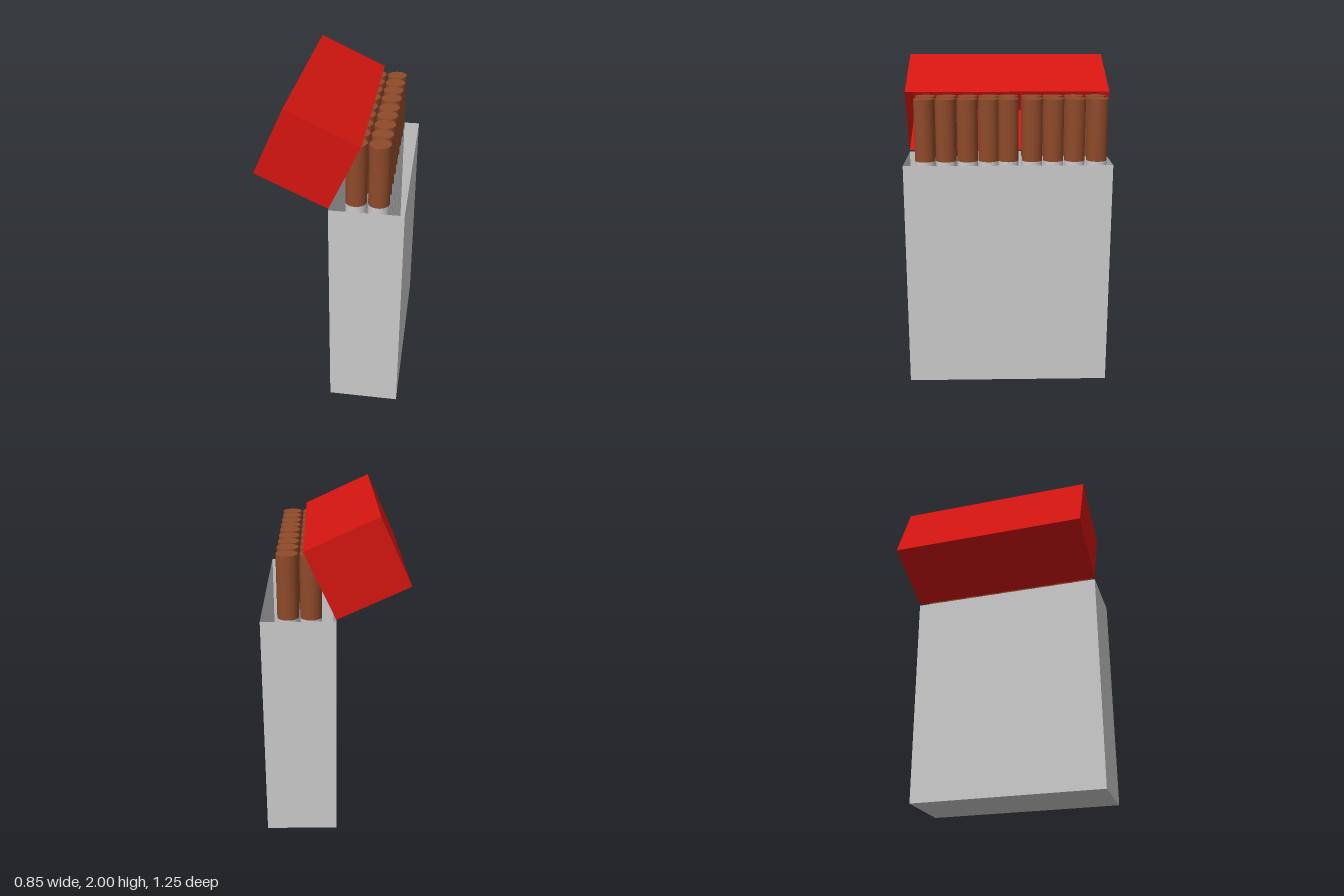
import * as THREE from 'three';

const DEPTH = 1.245;
const material = (color) => new THREE.MeshStandardMaterial({ color, side: THREE.DoubleSide });

// Thin-walled box with one side left off (2 = top, 3 = bottom)
function openBox(w, h, d, missingSide) {
  const geometry = new THREE.BoxGeometry(w, h, d);
  const index = Array.from(geometry.index.array);
  index.splice(missingSide * 6, 6);
  geometry.setIndex(index);
  geometry.clearGroups();
  return geometry;
}

function addMesh(parent, name, geometry, mat, x, y, z) {
  const mesh = new THREE.Mesh(geometry, mat);
  mesh.name = name;
  mesh.position.set(x, y, z);
  parent.add(mesh);
  return mesh;
}

export function createModel() {
  const model = new THREE.Group();
  model.name = 'openPack';
  const grey = material(0xcccccc);
  const red = material(0xd51510);
  const brown = material(0x8f4a2a);

  // Carton, open at the top
  const cartonH = 1.4;
  addMesh(model, 'carton', openBox(0.433, cartonH, DEPTH, 2), grey, 0.2085, cartonH / 2, 0);

  // Lid, open underneath and swung back about the carton's edge
  const lid = new THREE.Group();
  lid.name = 'lid';
  lid.position.set(-0.006, 1.41, 0);
  lid.rotation.z = THREE.MathUtils.degToRad(65.2);
  const lidW = 0.434, lidH = 0.463;
  addMesh(lid, 'lidShell', openBox(lidW, lidH, DEPTH, 3), red, lidW / 2, lidH / 2, 0);
  model.add(lid);

  // Two rows of sticks: pale body inside the carton, brown tip above it
  const radius = 0.062, top = 1.775, floor = 0.01;
  const bodyGeometry = new THREE.CylinderGeometry(radius, radius, cartonH - floor, 32);
  const tipGeometry = new THREE.CylinderGeometry(radius, radius, top - cartonH, 32);
  const spacing = [-0.542, -0.407, -0.277, -0.148, -0.004, 0.115, 0.244, 0.374, 0.502];
  for (const x of [0.136, 0.268]) {
    for (const z of spacing) {
      const stick = new THREE.Group();
      stick.name = 'stick';
      stick.position.set(x, 0, z);
      addMesh(stick, 'stickBody', bodyGeometry, grey, 0, (cartonH + floor) / 2, 0);
      addMesh(stick, 'stickTip', tipGeometry, brown, 0, (cartonH + top) / 2, 0);
      model.add(stick);
    }
  }
  return model;
}
